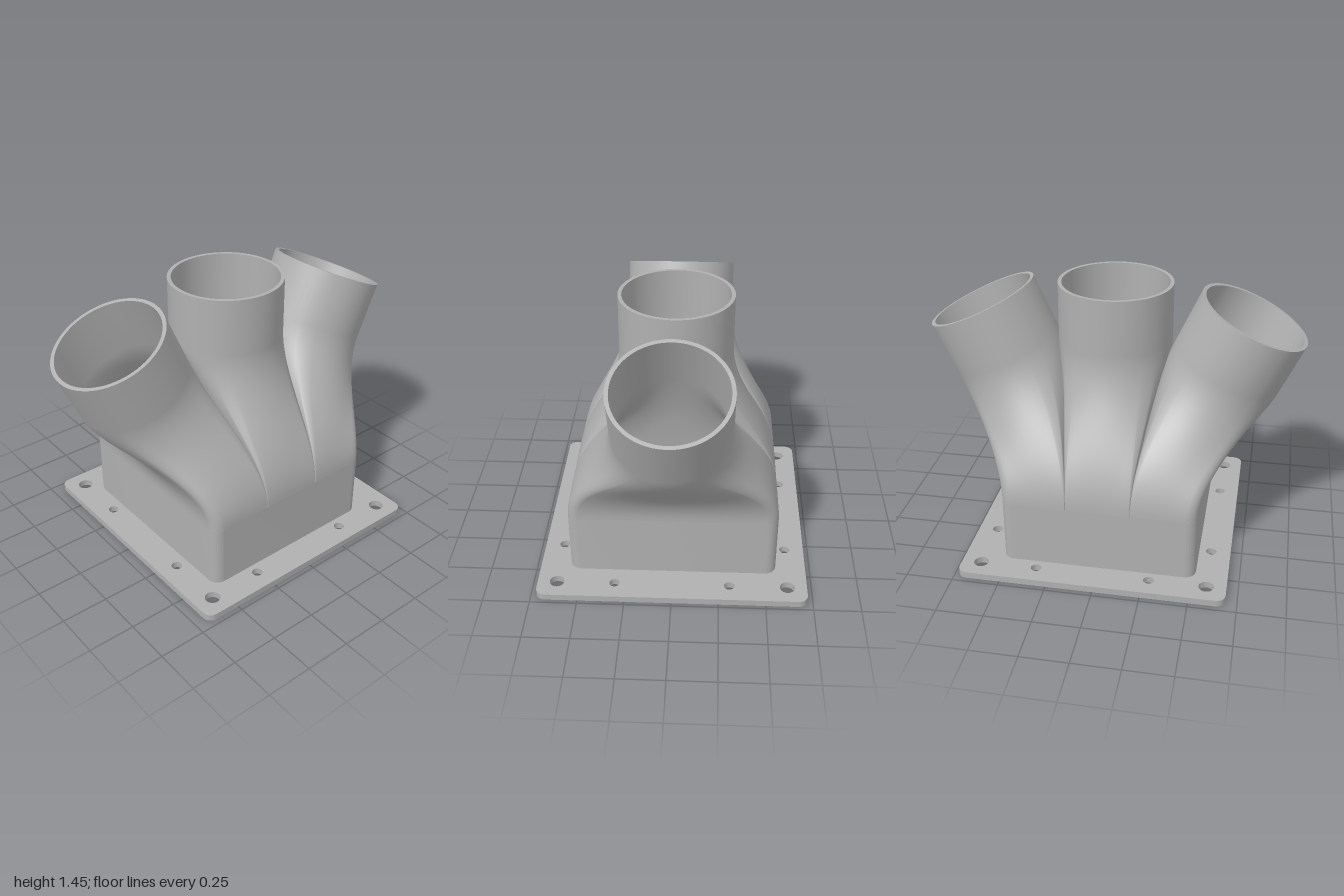
import * as THREE from 'three';
import { mergeGeometries, toCreasedNormals } from 'three/addons/utils/BufferGeometryUtils.js';

const BASE = 0.38;      // height where the box splits into ducts
const JOIN = 1.15;      // height where neighbouring ducts part
const R = 0.302, WALL = 0.02;

// Rounded rectangle, usable as a Shape or a hole
function roundedRect(Type, w, d, r) {
  const p = new Type();
  p.absarc(w - r, d - r, r, 0, Math.PI / 2);
  p.absarc(r - w, d - r, r, Math.PI / 2, Math.PI);
  p.absarc(r - w, r - d, r, Math.PI, Math.PI * 1.5);
  p.absarc(w - r, r - d, r, Math.PI * 1.5, Math.PI * 2);
  p.closePath();
  return p;
}

// Upright plate or wall from a flat outline
function extrudeUp(shape, depth) {
  const g = new THREE.ExtrudeGeometry(shape, { depth, bevelEnabled: false, curveSegments: 14 });
  return toCreasedNormals(g.rotateX(-Math.PI / 2), 0.5);
}

// Smooth skin through closed rings of points
function skin(rings) {
  const n = rings[0].length, index = [];
  for (let j = 0; j < rings.length - 1; j++) {
    for (let i = 0; i < n; i++) {
      const a = j * n + i, b = j * n + (i + 1) % n;
      index.push(a, a + n, b, b, a + n, b + n);
    }
  }
  const g = new THREE.BufferGeometry().setFromPoints(rings.flat());
  g.setIndex(index);
  g.computeVertexNormals();
  return g;
}

// Rounded rectangle points, each paired with its angle on the round pipe
function section(x0, x1, d, r0, r1) {
  const pts = [], rad = Math.PI / 180, K = 6, S = 12;
  for (let q = 0; q < 4; q++) {
    const sx = q === 0 || q === 3 ? 1 : -1, sz = q < 2 ? 1 : -1;
    const r = sx > 0 ? r1 : r0;
    const cx = sx > 0 ? x1 - r : x0 + r, cz = sz * (d - r);
    for (let k = 0; k <= K; k++) {
      const a = (q + k / K) * Math.PI / 2;
      pts.push({ x: cx + r * Math.cos(a), z: cz + r * Math.sin(a), a: (45 + 90 * q + (k / K - 0.5) * 20) * rad });
    }
  }
  const out = [];
  pts.forEach((p, i) => {
    out.push(p);
    if (i % (K + 1) !== K) return;
    const e = pts[(i + 1) % pts.length];
    for (let s = 1; s < S; s++) {
      const t = s / S;
      out.push({ x: p.x + (e.x - p.x) * t, z: p.z + (e.z - p.z) * t, a: p.a + 70 * rad * t });
    }
  });
  return out;
}

// Curved dividing line between the middle and side ducts
const divider = y => 0.17 + 0.14 * Math.pow(Math.max(0, (y - BASE) / (JOIN - BASE)), 1.7);

// Rings from a rectangle at the box up to the round pipe end
function ductRings(sec, centre, tilt, radius, limit) {
  const axis = new THREE.Vector3(Math.sin(tilt), Math.cos(tilt), 0);
  const side = new THREE.Vector3(Math.cos(tilt), -Math.sin(tilt), 0);
  const rings = [], N = 28;
  const onPipe = p => centre.clone().addScaledVector(side, radius * Math.cos(p.a))
    .add(new THREE.Vector3(0, 0, radius * Math.sin(p.a)));
  for (let j = 0; j <= N; j++) {
    const u = j / N, u2 = u * u, u3 = u2 * u;
    rings.push(sec.map(p => {
      const a = new THREE.Vector3(p.x, BASE, p.z), b = onPipe(p), L = a.distanceTo(b);
      const v = a.multiplyScalar(2 * u3 - 3 * u2 + 1).addScaledVector(b, 3 * u2 - 2 * u3);
      v.y += L * (u3 - 2 * u2 + u);
      v.addScaledVector(axis, L * (u3 - u2));
      return limit(v);
    }));
  }
  rings.push(sec.map(p => onPipe(p).addScaledVector(axis, 0.302)));
  return rings;
}

// Hollow duct: outside, inside and both rims
function duct(outerSec, innerSec, centre, tilt, limitFor) {
  const outer = ductRings(outerSec, centre, tilt, R, limitFor(0));
  const inner = ductRings(innerSec, centre, tilt, R - WALL, limitFor(WALL / 2));
  const top = outer.length - 1;
  return mergeGeometries([
    skin(outer),
    skin([outer[top], inner[top]]),
    skin([...inner].reverse()),
    skin([inner[0], outer[0]]),
  ]);
}

export function createModel() {
  const group = new THREE.Group();
  const grey = new THREE.MeshStandardMaterial({ color: 0xb0b0b0 });
  grey.name = 'matte grey';
  const add = (name, geometry) => {
    const m = new THREE.Mesh(geometry, grey);
    m.name = name;
    group.add(m);
    return m;
  };

  // Mounting flange with bolt holes, slightly offset from the box
  const off = 0.02;
  const plate = new THREE.Shape(roundedRect(THREE.Path, 0.71, 0.722, 0.05).getPoints(10)
    .map(p => new THREE.Vector2(p.x + off, p.y)));
  plate.holes.push(roundedRect(THREE.Path, 0.5, 0.54, 0.04));
  const hole = (x, z, r) => plate.holes.push(new THREE.Path().absarc(x + off, z, r, 0, Math.PI * 2));
  for (const sx of [-1, 1]) {
    for (const sz of [-1, 1]) {
      hole(sx * 0.605, sz * 0.617, 0.04);
      hole(sx * 0.303, sz * 0.617, 0.028);
      hole(sx * 0.605, sz * 0.308, 0.028);
    }
  }
  add('mountingFlange', extrudeUp(plate, 0.036));

  // Open box
  const box = roundedRect(THREE.Shape, 0.52, 0.56, 0.06);
  box.holes.push(roundedRect(THREE.Path, 0.5, 0.54, 0.04));
  add('boxWall', extrudeUp(box, BASE - 0.036).translate(0, 0.036, 0));

  // Middle duct, kept between the two dividing lines
  add('middleDuct', duct(
    section(-0.17, 0.17, 0.56, 0.004, 0.004),
    section(-0.16, 0.16, 0.54, 0.004, 0.004),
    new THREE.Vector3(0, JOIN, 0), 0,
    gap => v => {
      const m = divider(v.y) - gap;
      v.x = THREE.MathUtils.clamp(v.x, -m, m);
      return v;
    }));

  // Tilted side ducts, the second turned half round
  const sideGeometry = duct(
    section(0.17, 0.52, 0.56, 0.004, 0.06),
    section(0.18, 0.5, 0.54, 0.004, 0.04),
    new THREE.Vector3(0.6, 1.03, 0), 0.427,
    gap => v => {
      v.x = Math.max(v.x, divider(v.y) + gap);
      return v;
    });
  add('leftDuct', sideGeometry);
  add('rightDuct', sideGeometry).rotation.y = Math.PI;

  return group;
}
